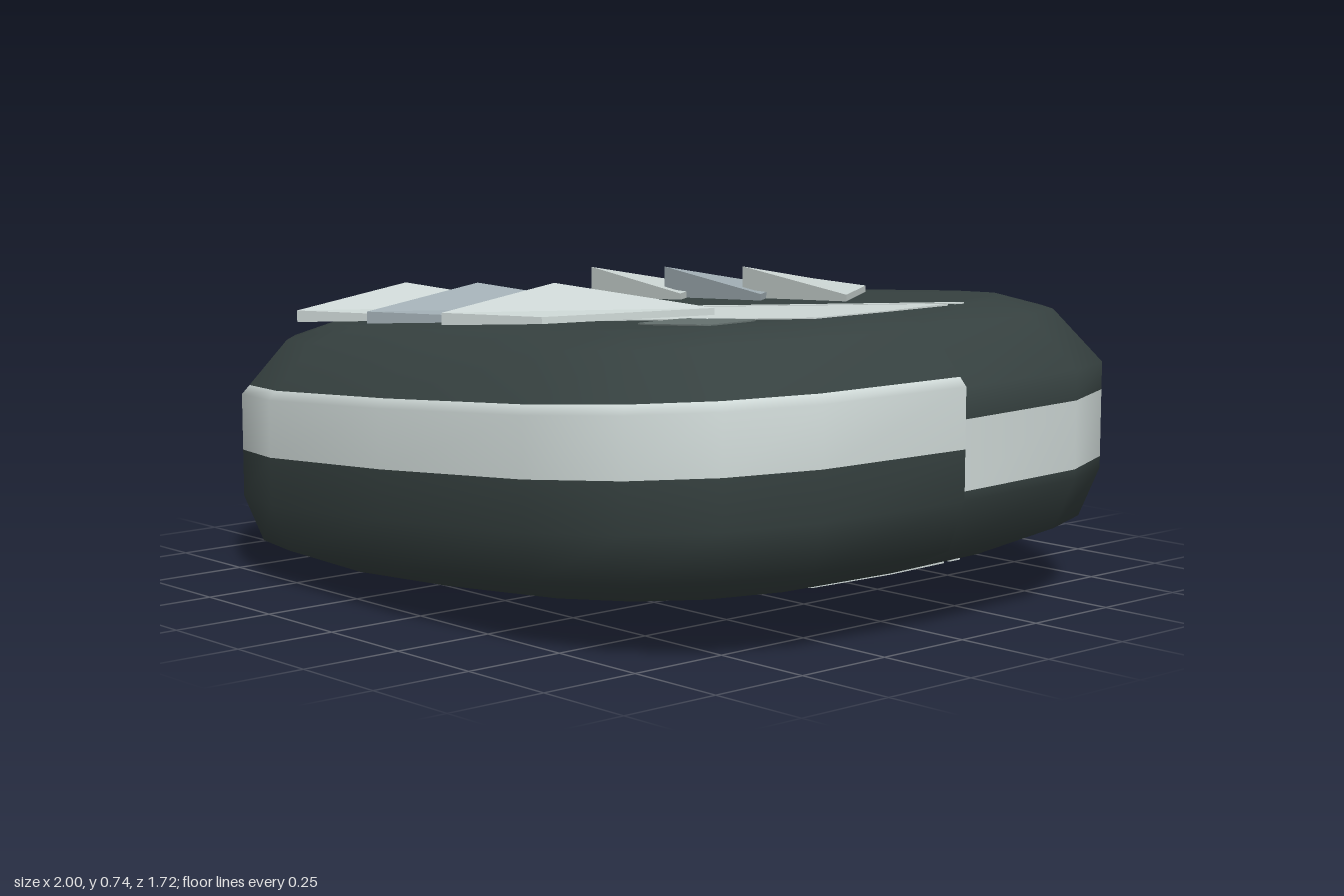
import * as THREE from 'three';

const mat = (name, color, side = THREE.FrontSide) => {
  const m = new THREE.MeshStandardMaterial({ color, side });
  m.name = name;
  return m;
};

// Everything sits on a gently sloping middle plane
const midY = (x) => 0.361 + 0.073 * x;
const tilt = new THREE.Matrix4().set(1, 0, 0, 0, 0.073, 1, 0, 0.361, 0, 0, 1, 0, 0, 0, 0, 1);

// Rounded-square plan outline
const pow = (v) => Math.sign(v) * Math.abs(v) ** 0.625;
const plan = (t) => [pow(Math.cos(t)), 0.86 * pow(Math.sin(t))];

// Outward size of the shell at a height measured from the middle plane
const SHOULDER = 0.135;
const profile = [[-0.3, 0.78], [-0.235, 0.955], [-0.12, 1], [SHOULDER, 1], [0.265, 0.89], [0.3, 0.78]];
function scaleAt(v) {
  for (let i = 1; i < profile.length; i++) {
    const [v0, s0] = profile[i - 1], [v1, s1] = profile[i];
    if (v <= v1) return s0 + (s1 - s0) * (v - v0) / (v1 - v0);
  }
  return 0.78;
}

// Pillow-shaped shell; the side band drifts lower along the back and steps at the seam on +x
function shellGeometry() {
  const N = 20, pos = [], dark = [], pale = [], tops = [];
  for (let i = 0; i <= N; i++) {
    const t = (i / N) * Math.PI * 2, [px, pz] = plan(t);
    const drop = i > N / 2 ? 0.047 * (1 + px) : 0;
    const lo = -0.004 - drop, hi = 0.157 - drop;
    tops.push(hi);
    const rings = [[-0.3, 0], [-0.3, 0.7], [-0.3, 0.78], [-0.235, 0.955], [-0.12, 1], [lo, 1]];
    for (const v of [Math.min(hi, SHOULDER), Math.max(hi, SHOULDER)]) rings.push([v, scaleAt(v)]);
    rings.push([0.265, 0.89], [0.3, 0.78], [0.3, 0.7], [0.3, 0]);
    for (const [v, s] of rings) pos.push(px * s, midY(px * s) + v, pz * s);
  }
  const R = 12;
  for (let i = 0; i < N; i++) {
    for (let j = 0; j < R - 1; j++) {
      const a = i * R + j, b = a + R;
      const isBand = j === 5 || (j === 6 && tops[i] + tops[i + 1] > 2 * SHOULDER);
      (isBand ? pale : dark).push(a, a + 1, b, b, a + 1, b + 1);
    }
  }
  const g = new THREE.BufferGeometry();
  g.setAttribute('position', new THREE.Float32BufferAttribute(pos, 3));
  g.setIndex([...dark, ...pale]);
  g.addGroup(0, dark.length, 0);
  g.addGroup(dark.length, pale.length, 1);
  g.computeVertexNormals();
  // Keep the shading continuous over the seam
  const n = g.attributes.normal;
  for (const c of [0, N]) {
    for (let j = 0; j < R; j++) {
      const k = c * R + j, l = Math.hypot(n.getX(k), n.getY(k)) || 1;
      n.setXYZ(k, n.getX(k) / l, n.getY(k) / l, 0);
    }
  }
  return g;
}

// Thin flat plate from an x,z shape, lying on the top or bottom face
function plate(shape, level) {
  const g = new THREE.ExtrudeGeometry(shape, { depth: 0.006, bevelEnabled: false, curveSegments: 6 });
  return g.rotateX(Math.PI / 2).translate(0, level + 0.003, 0).applyMatrix4(tilt);
}

const curve = (pts, n = 16) => new THREE.SplineCurve(pts.map((p) => new THREE.Vector2(...p))).getPoints(n);

function stripeShape() {
  const upper = curve([[-0.78, 0.065], [-0.5, 0.062], [-0.2, 0.035], [0.1, -0.015], [0.4, -0.09], [0.77, -0.19]]);
  const lower = curve([[0.76, 0.235], [0.33, 0.35], [-0.1, 0.44], [-0.68, 0.49]]);
  const ends = [[0.78, 0]].map((p) => new THREE.Vector2(...p));
  return new THREE.Shape([...upper, ...ends, ...lower, new THREE.Vector2(-0.757, 0.328)]);
}

function lineShape() {
  const mid = [[-0.78, 0.028], [-0.5, 0.026], [-0.2, 0], [0.1, -0.052], [0.4, -0.13], [0.765, -0.234]];
  const edge = (d) => curve(mid.map(([x, z]) => [x, z + d]));
  return new THREE.Shape([...edge(-0.016), ...edge(0.016).reverse()]);
}

function roundedRect(x0, z0, x1, z1, r) {
  const s = new THREE.Shape();
  s.moveTo(x0 + r, z0);
  s.lineTo(x1 - r, z0).quadraticCurveTo(x1, z0, x1, z0 + r);
  s.lineTo(x1, z1 - r).quadraticCurveTo(x1, z1, x1 - r, z1);
  s.lineTo(x0 + r, z1).quadraticCurveTo(x0, z1, x0, z1 - r);
  s.lineTo(x0, z0 + r).quadraticCurveTo(x0, z0, x0 + r, z0);
  return s;
}

// Four-cornered shard with a raised inner corner and a fold along its diagonal
function shardGeometry(dx, side) {
  const corners = [[-0.04, 0.31, 0.083], [-0.09, 0.61, 0.033], [0.18, 0.53, 0.02], [0.42, 0.215, 0.02]];
  const pos = [];
  for (const top of [false, true]) {
    for (const [x, z, h] of corners) pos.push(x + dx, midY(x + dx) + 0.3 + (top ? h : 0.004), z * side);
  }
  const idx = [4, 5, 7, 5, 6, 7, 0, 3, 1, 1, 3, 2];
  for (let i = 0; i < 4; i++) {
    const j = (i + 1) % 4;
    idx.push(i, j, j + 4, i, j + 4, i + 4);
  }
  if (side < 0) idx.reverse();
  const g = new THREE.BufferGeometry();
  g.setAttribute('position', new THREE.Float32BufferAttribute(pos, 3));
  g.setIndex(idx);
  const flat = g.toNonIndexed();
  flat.computeVertexNormals();
  return flat;
}

// Strip hugging the shell above the band on the back
function backPatchGeometry() {
  const cols = [[0.58, -0.799], [0.48, -0.834], [0, -0.86], [-0.48, -0.834]];
  const levels = [0.105, SHOULDER, 0.19], pos = [], idx = [];
  for (const [x, z] of cols) {
    for (const v of levels) {
      const s = scaleAt(v) + 0.004;
      pos.push(x * s, midY(x * s) + v + 0.002, z * s);
    }
  }
  for (let i = 0; i < cols.length - 1; i++) {
    for (let j = 0; j < 2; j++) {
      const a = i * 3 + j, b = a + 3;
      idx.push(a, b, a + 1, b, b + 1, a + 1);
    }
  }
  const g = new THREE.BufferGeometry();
  g.setAttribute('position', new THREE.Float32BufferAttribute(pos, 3));
  g.setIndex(idx);
  g.computeVertexNormals();
  return g;
}

export function createModel() {
  const group = new THREE.Group();
  const dark = mat('darkShell', 0x364140);
  const pale = mat('paleGrey', 0xd0dad8);
  const blue = mat('blueGrey', 0xa4b1b7);
  const grey = mat('midGrey', 0x667270, THREE.DoubleSide);
  const add = (name, geometry, material) => {
    const m = new THREE.Mesh(geometry, material);
    m.name = name;
    group.add(m);
  };

  add('shell', shellGeometry(), [dark, pale]);

  // Painted areas repeat on the top and bottom faces
  for (const [where, level] of [['top', 0.3], ['bottom', -0.3]]) {
    add(where + 'Stripe', plate(stripeShape(), level), pale);
    add(where + 'Line', plate(lineShape(), level), pale);
    add(where + 'Patch', plate(roundedRect(0.41, 0.295, 0.66, 0.46, 0.04), level), grey);
  }
  add('backPatch', backPatchGeometry(), grey);

  // Two mirrored rows of three shards
  for (const [row, side] of [['front', 1], ['back', -1]]) {
    [-0.59, -0.295, 0].forEach((dx, i) => {
      add(row + 'Shard' + (i + 1), shardGeometry(dx, side), i === 1 ? blue : pale);
    });
  }
  return group;
}
